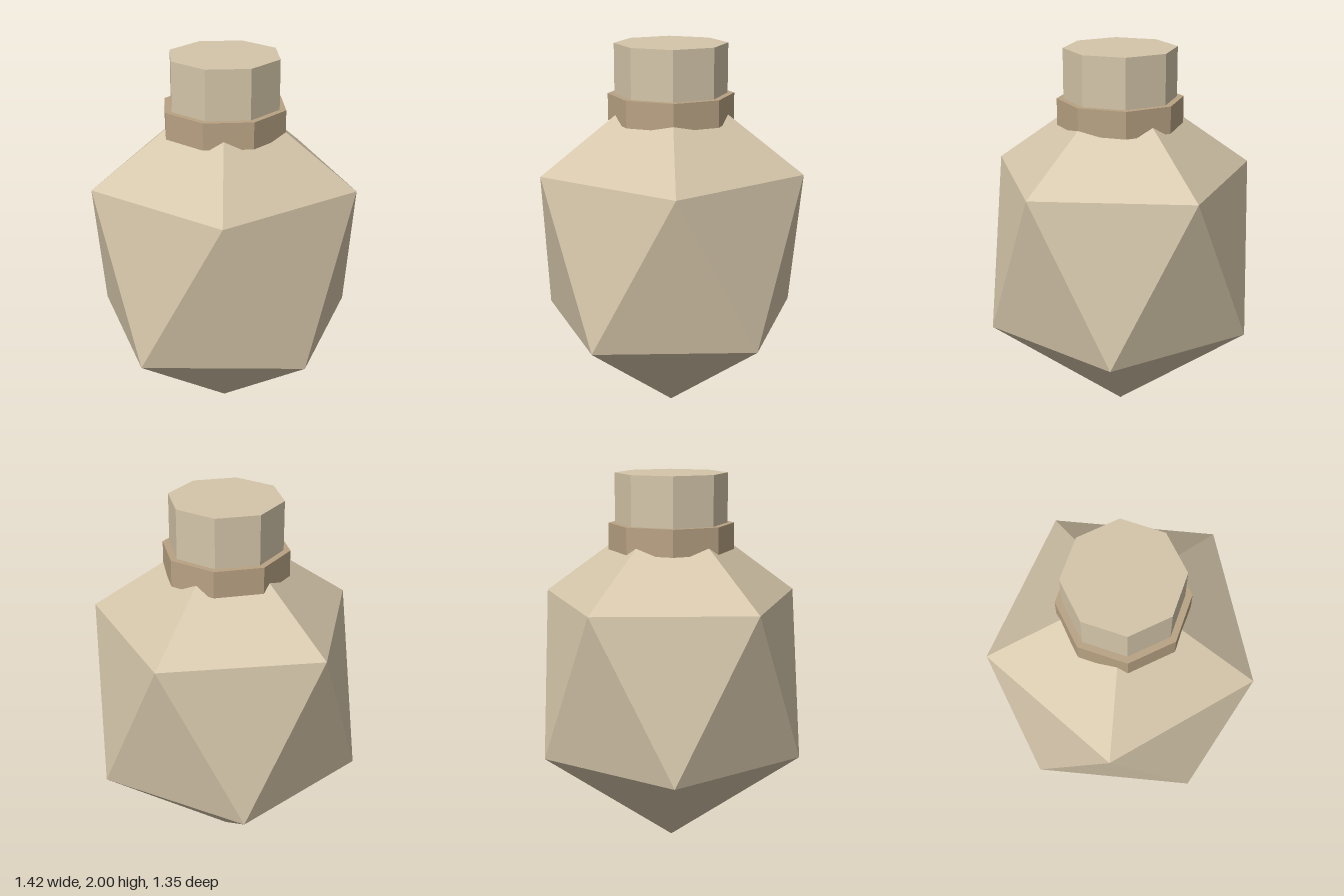
import * as THREE from 'three';

const paint = (color) => new THREE.MeshStandardMaterial({ color, flatShading: true });

export function createModel() {
  const group = new THREE.Group();
  const glass = paint(0xd4c5a9);
  const band = paint(0xb8a283);

  function add(name, geometry, material, y) {
    const mesh = new THREE.Mesh(geometry, material);
    mesh.name = name;
    mesh.position.y = y;
    group.add(mesh);
  }

  // Faceted body: icosahedron turned to stand on a corner, then stretched upward
  const ringRadius = 0.71;
  const halfHeight = 0.932;
  const golden = (1 + Math.sqrt(5)) / 2;
  const body = new THREE.IcosahedronGeometry(1, 0);
  body.rotateZ(-Math.atan(1 / golden));
  const width = ringRadius * Math.sqrt(5) / 2;
  body.scale(width, halfHeight, width);
  body.computeVertexNormals();
  add('body', body, glass, halfHeight);

  // Eight-sided collar and neck
  const prism = (radius, bottom, top) => new THREE.CylinderGeometry(radius, radius, top - bottom, 8);
  add('collar', prism(0.33, 1.6, 1.74), band, 1.67);
  add('neck', prism(0.295, 1.61, 2), glass, 1.805);

  return group;
}
